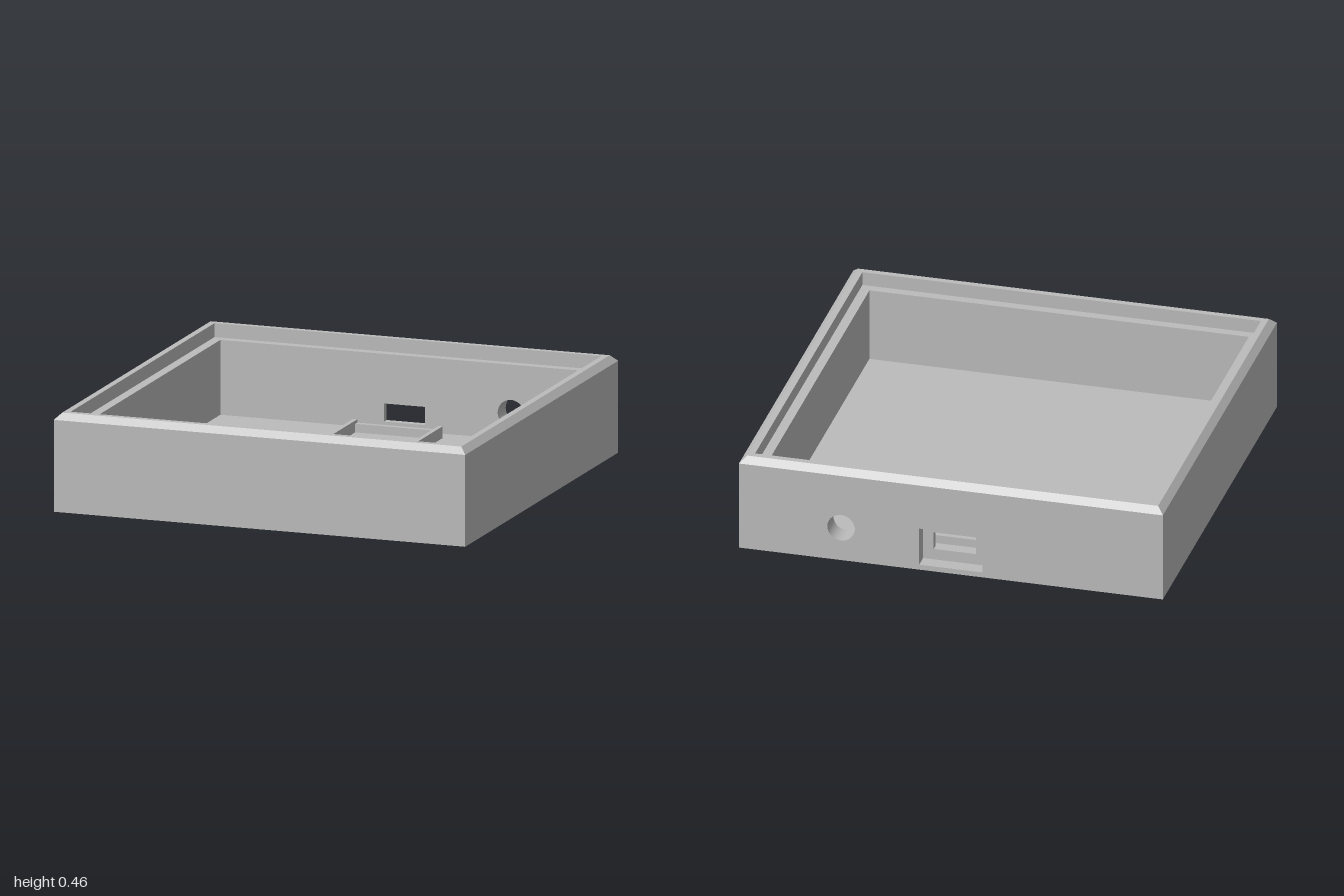
import * as THREE from 'three';

const INNER = 0.895;  // half width of the cavity
const FLOOR = 0.045;  // floor thickness
const LEDGE = 0.395;  // height of the step below the rim

export function createModel() {
  const group = new THREE.Group();
  const grey = new THREE.MeshStandardMaterial({ color: 0xbbbbbb });
  grey.name = 'greyPlastic';

  const add = (name, geometry) => {
    const mesh = new THREE.Mesh(geometry, grey);
    mesh.name = name;
    group.add(mesh);
    return mesh;
  };

  // Box given by its minimum and maximum corners
  const block = (name, x0, x1, y0, y1, z0, z1) => {
    const mesh = add(name, new THREE.BoxGeometry(x1 - x0, y1 - y0, z1 - z0));
    mesh.position.set((x0 + x1) / 2, (y0 + y1) / 2, (z0 + z1) / 2);
  };

  const rectangle = (path, x0, x1, y0, y1) => {
    path.moveTo(x0, y0).lineTo(x1, y0).lineTo(x1, y1).lineTo(x0, y1).closePath();
    return path;
  };

  // Floor and the three plain walls
  block('floor', -INNER, INNER, 0, FLOOR, -INNER, INNER);
  block('frontWall', -INNER, INNER, 0, LEDGE, INNER, 1);
  block('leftWall', INNER, 1, 0, LEDGE, -INNER, 1);
  block('rightWall', -1, -INNER, 0, LEDGE, -INNER, 1);

  // Back wall in two layers: a wide port recess outside, a narrow slot inside
  const backLayer = (name, z0, z1, port) => {
    const shape = rectangle(new THREE.Shape(), -1, 1, 0, LEDGE);
    shape.holes.push(rectangle(new THREE.Path(), ...port));
    const cableHole = new THREE.Path();
    cableHole.absarc(0.518, 0.165, 0.065, 0, Math.PI * 2);
    shape.holes.push(cableHole);
    const geometry = new THREE.ExtrudeGeometry(shape, {
      depth: z1 - z0, bevelEnabled: false, curveSegments: 24,
    });
    geometry.translate(0, 0, z0);
    add(name, geometry);
  };
  backLayer('backWallOuter', -1, -0.93, [-0.15, 0.15, 0.025, 0.21]);
  backLayer('backWallInner', -0.93, -INNER, [-0.1, 0.1, 0.078, 0.163]);

  // Chamfered rim: a four-sided lathe, squared to the axes
  const profile = [[1, LEDGE], [1, 0.43], [0.97, 0.46], [0.94, 0.46], [0.94, LEDGE]]
    .map(([r, y]) => new THREE.Vector2(r * Math.SQRT2, y));
  const rim = new THREE.LatheGeometry(profile, 4, Math.PI / 4).toNonIndexed();
  rim.computeVertexNormals();
  add('rim', rim);

  // Circuit board holder on the floor
  const top = 0.1;
  block('holderRightSide', -0.218, -0.197, FLOOR, top, -0.812, -0.422);
  block('holderLeftSide', 0.195, 0.216, FLOOR, top, -0.812, -0.422);
  block('holderFront', -0.218, 0.216, FLOOR, top, -0.422, -0.4);
  block('holderBack', -0.197, 0.195, FLOOR, 0.085, -0.807, -0.78);
  block('holderSupport', -0.197, 0.195, FLOOR, 0.065, -0.5, -0.47);

  return group;
}
